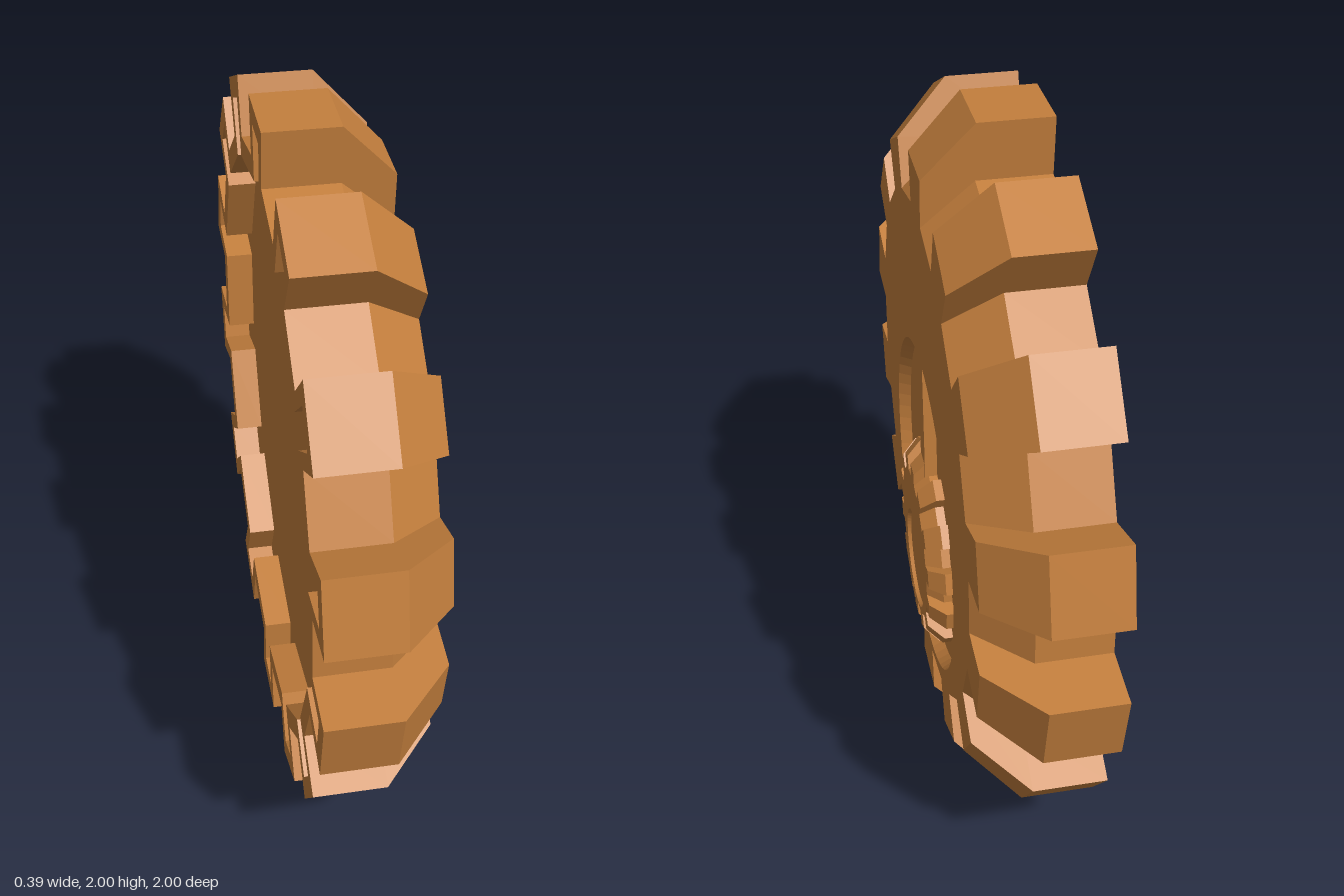
import * as THREE from 'three';

const TEETH = 14;
const BACK = -0.185, MID = 0.015, FRONT = 0.155, POCKET = -0.105;
const material = new THREE.MeshStandardMaterial({ color: 0xc47f3d, flatShading: true });

// Toothed outline, counter-clockwise, with a tooth pointing straight up
function gearOutline(tip, root, half) {
  const pts = [];
  for (let i = 0; i < TEETH; i++) {
    const a = Math.PI / 2 + (i / TEETH) * Math.PI * 2;
    for (const [r, d] of [[root, -half], [tip, -half], [tip, half], [root, half]]) {
      pts.push(new THREE.Vector2(r * Math.cos(a + d), r * Math.sin(a + d)));
    }
  }
  return pts;
}

// Round recess below the centre, optionally cut by a bar coming from the top
function recessOutline(radius, barHalf) {
  const pts = [], n = 64, cy = -0.21;
  const gap = Math.asin(barHalf / radius);
  const steps = barHalf ? n + 1 : n;
  for (let i = 0; i < steps; i++) {
    const a = Math.PI / 2 + gap + (i / n) * (Math.PI * 2 - gap * 2);
    pts.push(new THREE.Vector2(radius * Math.cos(a), cy + radius * Math.sin(a)));
  }
  if (barHalf) pts.push(new THREE.Vector2(barHalf, -0.15), new THREE.Vector2(-barHalf, -0.15));
  return pts;
}

// Walls joining successive closed outlines, each given as [points, depth]
function loft(rings) {
  const pos = [];
  for (let k = 0; k + 1 < rings.length; k++) {
    const [a, za] = rings[k], [b, zb] = rings[k + 1];
    for (let i = 0; i < a.length; i++) {
      const j = (i + 1) % a.length;
      pos.push(a[i].x, a[i].y, za, a[j].x, a[j].y, za, b[j].x, b[j].y, zb);
      pos.push(a[i].x, a[i].y, za, b[j].x, b[j].y, zb, b[i].x, b[i].y, zb);
    }
  }
  const g = new THREE.BufferGeometry();
  g.setAttribute('position', new THREE.Float32BufferAttribute(pos, 3));
  g.computeVertexNormals();
  return g;
}

function cap(points, z, hole) {
  const shape = new THREE.Shape(points);
  if (hole) shape.holes.push(new THREE.Path(hole));
  return new THREE.ShapeGeometry(shape).translate(0, 0, z);
}

// One complete gear, facing +z
function makeGear(name, barHalf) {
  const gear = new THREE.Group();
  gear.name = name;
  const add = (part, geometry) => {
    const mesh = new THREE.Mesh(geometry, material);
    mesh.name = part;
    gear.add(mesh);
  };
  const outer = gearOutline(1.006, 0.845, 0.108);
  const face = outer.map((p) => p.clone().multiplyScalar(0.853));
  const pocket = gearOutline(0.945, 0.79, 0.057);
  const rim = recessOutline(0.485, barHalf);
  const floor = recessOutline(0.47, barHalf);
  const floorZ = FRONT - 0.035;

  add('toothedRim', loft([[pocket, POCKET], [pocket, BACK], [outer, BACK], [outer, MID], [face, FRONT]]));
  add('frontFace', cap(face, FRONT, rim));
  add('recessWall', loft([[rim, FRONT], [floor, floorZ]]));
  add('recessFloor', cap(floor, floorZ));
  add('backPocketFloor', cap(pocket, 0).rotateY(Math.PI).translate(0, 0, POCKET));
  return gear;
}

export function createModel() {
  const model = new THREE.Group();
  model.name = 'gearWheel';

  // Wheel faces +x with a very slight lean
  const wheel = new THREE.Group();
  wheel.name = 'wheel';
  wheel.rotation.set(0.005, Math.PI / 2 - 0.018, 0, 'YXZ');
  wheel.position.y = 1;
  wheel.add(makeGear('largeGear', 0.035));

  // Small gear sits in the recess of the large one
  const small = makeGear('smallGear', 0);
  const s = 0.305;
  small.scale.setScalar(s);
  small.position.set(0, -0.345, 0.187 - FRONT * s);
  wheel.add(small);

  model.add(wheel);
  return model;
}
